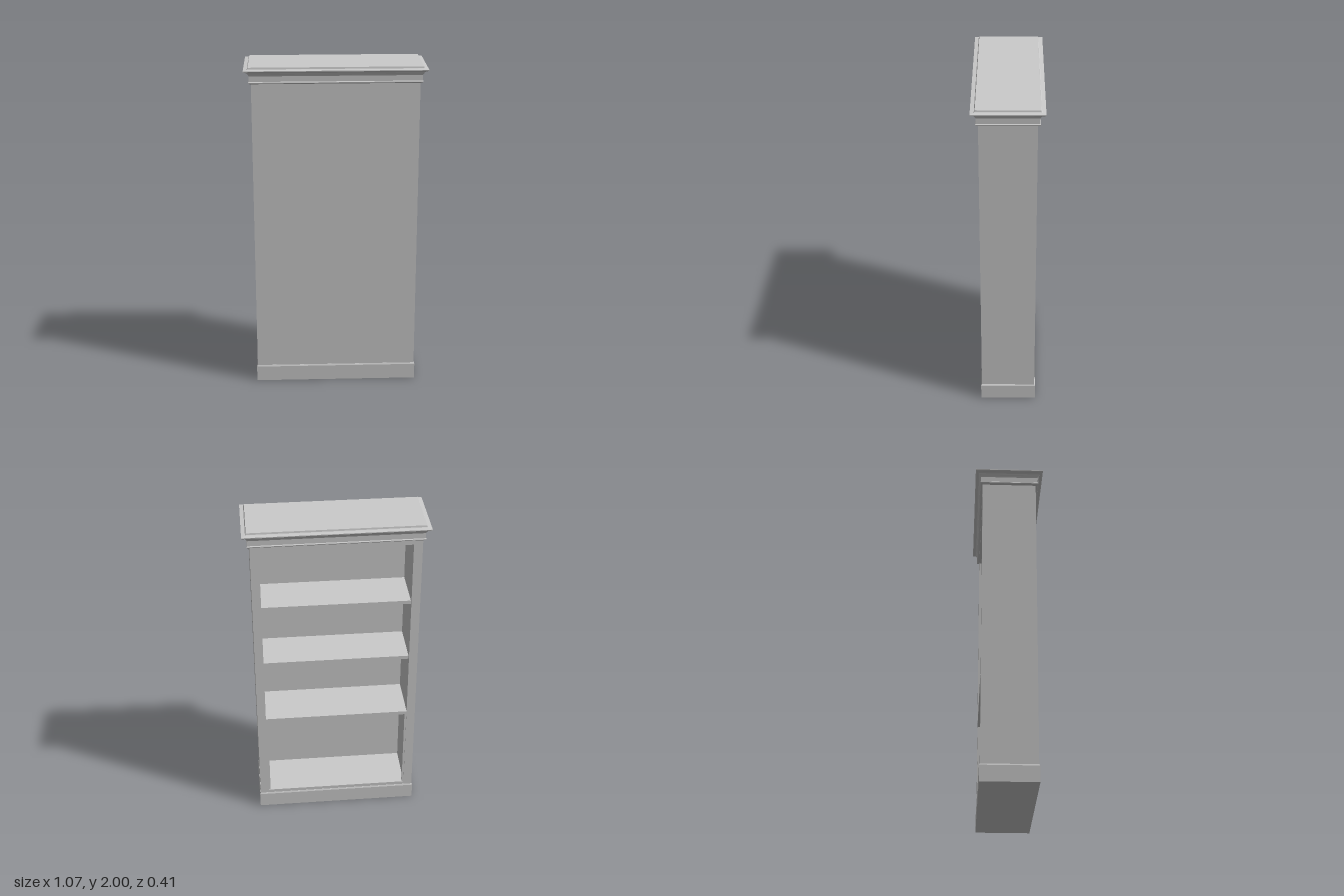
import * as THREE from 'three';

const material = new THREE.MeshStandardMaterial({ color: 0xcccccc });

// Outer half width and half depth of the carcass
const W = 0.49, D = 0.162;
const SIDE = 0.052, BACK = 0.032, FLOOR = 0.125, CEILING = 1.872, TOP = 1.91;

// Box given by its minimum and maximum corners
function box(name, [x0, y0, z0], [x1, y1, z1]) {
  const geometry = new THREE.BoxGeometry(x1 - x0, y1 - y0, z1 - z0);
  geometry.translate((x0 + x1) / 2, (y0 + y1) / 2, (z0 + z1) / 2);
  const mesh = new THREE.Mesh(geometry, material);
  mesh.name = name;
  return mesh;
}

// Mitred moulding: a profile of [overhang, height] swept round the carcass and capped
function moulding(name, profile) {
  const positions = [];
  const rings = profile.map(([o, y]) => [
    [-W - o, y, D + o], [W + o, y, D + o], [W + o, y, -D - o], [-W - o, y, -D - o],
  ]);
  const quad = (a, b, c, d) => positions.push(...a, ...b, ...c, ...a, ...c, ...d);
  for (let i = 0; i < rings.length - 1; i++) {
    for (let k = 0; k < 4; k++) {
      const n = (k + 1) % 4;
      quad(rings[i][k], rings[i][n], rings[i + 1][n], rings[i + 1][k]);
    }
  }
  quad(...rings[rings.length - 1]);
  quad(...[...rings[0]].reverse());
  const geometry = new THREE.BufferGeometry();
  geometry.setAttribute('position', new THREE.Float32BufferAttribute(positions, 3));
  geometry.computeVertexNormals();
  const mesh = new THREE.Mesh(geometry, material);
  mesh.name = name;
  return mesh;
}

export function createModel() {
  const model = new THREE.Group();
  model.name = 'bookcase';
  const inner = W - SIDE;
  const panelZ = D - BACK;

  // Carcass: closed at +z, open at -z
  model.add(
    box('sidePanelLeft', [inner, 0.08, -D], [W, TOP, D]),
    box('sidePanelRight', [-W, 0.08, -D], [-inner, TOP, D]),
    box('backPanel', [-inner, 0.08, panelZ], [inner, TOP, D]),
    box('topRail', [-inner, CEILING, -D], [inner, TOP, panelZ]),
    box('floorBoard', [-inner, 0.08, -D], [inner, FLOOR, panelZ]),
  );

  // Two recessed shelves above one flush fixed shelf
  for (const [y, recess] of [[0.695, 0], [1.1, 0.02], [1.49, 0.02]]) {
    model.add(box('shelf', [-inner, y - 0.022, -D + recess], [inner, y, panelZ]));
  }

  // Thin lining strips beside the lowest compartment
  for (const s of [-1, 1]) {
    const x = s * (inner - 0.006);
    model.add(box('liningStrip', [x - 0.006, FLOOR, -D + 0.004], [x + 0.006, 0.673, -D + 0.022]));
  }

  // Plinth with a chamfered upper edge
  model.add(moulding('plinth', [[0.005, 0], [0.005, 0.095], [0.001, 0.104]]));

  // Crown: frieze band, cove, projecting lip and raised top board
  model.add(moulding('crown', [
    [0, 1.9], [0.01, 1.903], [0.015, 1.908], [0.015, 1.912], [0.011, 1.916],
    [0.011, 1.948], [0.015, 1.957], [0.019, 1.962], [0.022, 1.968], [0.03, 1.973],
    [0.036, 1.975], [0.043, 1.98], [0.043, 1.985], [0.021, 1.987],
    [0.018, 1.99], [0.016, 2],
  ]));

  return model;
}
